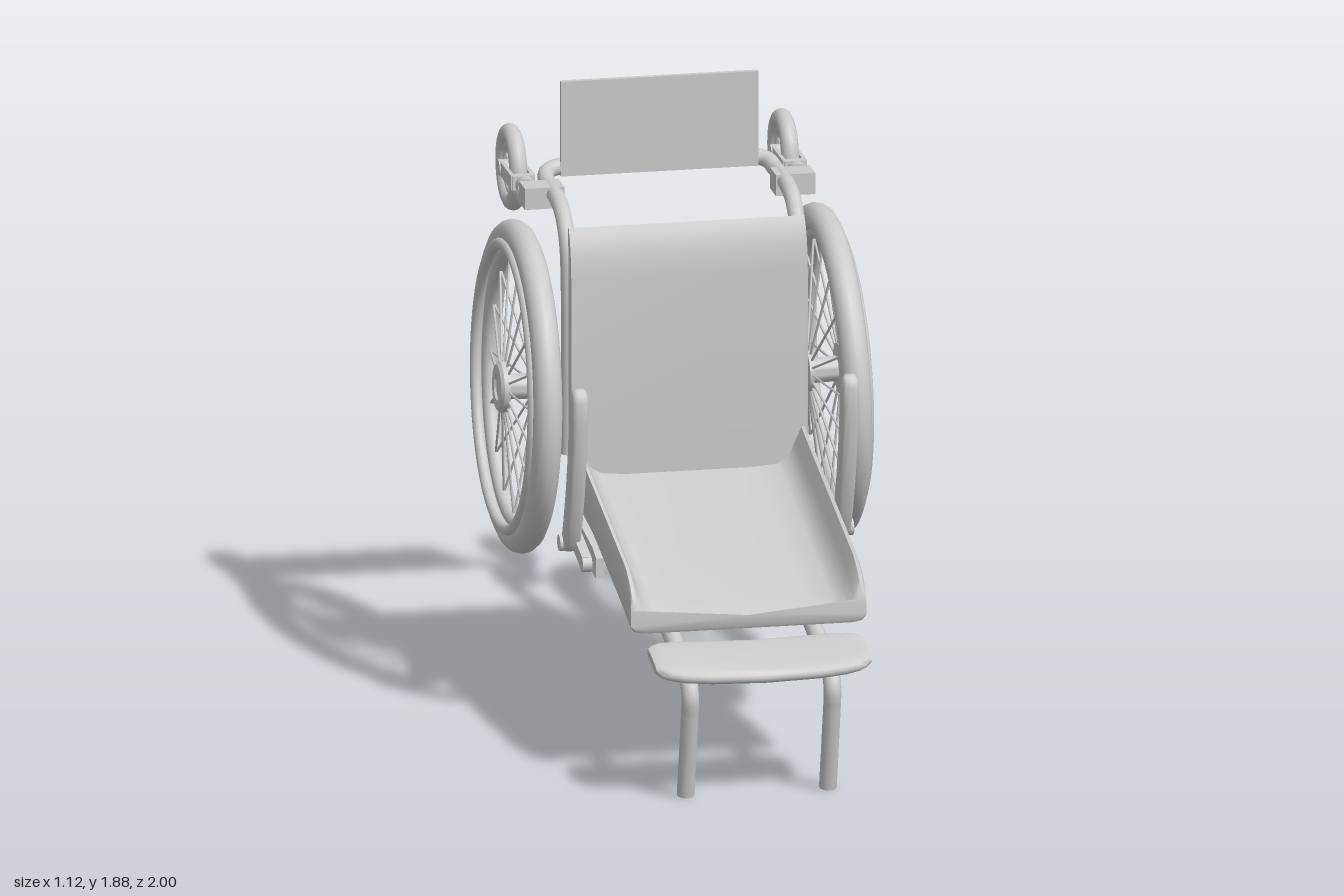
import * as THREE from 'three';
import { toCreasedNormals } from 'three/addons/utils/BufferGeometryUtils.js';

const mat = new THREE.MeshStandardMaterial({ color: 0xcccccc, roughness: 0.7 });
const V = (x, y, z) => new THREE.Vector3(x, y, z);

function add(parent, name, geo, x = 0, y = 0, z = 0) {
  const m = new THREE.Mesh(geo, mat);
  m.name = name;
  m.position.set(x, y, z);
  parent.add(m);
  return m;
}

// Straight capped cylinder between two points
function rod(parent, name, a, b, r, sides = 16) {
  const m = add(parent, name, new THREE.CylinderGeometry(r, r, a.distanceTo(b), sides));
  m.position.copy(a).add(b).multiplyScalar(0.5);
  m.quaternion.setFromUnitVectors(V(0, 1, 0), b.clone().sub(a).normalize());
  return m;
}

// Bent tube through points
function tube(parent, name, pts, r, seg = 60) {
  const curve = new THREE.CatmullRomCurve3(pts, false, 'centripetal');
  return add(parent, name, new THREE.TubeGeometry(curve, seg, r, 14));
}

// Closed skin over a row of equal-length cross-section loops
function loft(loops, crease = 0.7) {
  const pos = [], n = loops[0].length;
  const tri = (...ps) => ps.forEach(p => pos.push(p.x, p.y, p.z));
  const mid = l => l.reduce((s, p) => s.add(p), V(0, 0, 0)).divideScalar(n);
  const last = loops[loops.length - 1], c0 = mid(loops[0]), c1 = mid(last);
  for (let j = 0; j < n; j++) {
    const k = (j + 1) % n;
    for (let i = 0; i + 1 < loops.length; i++) {
      const A = loops[i], B = loops[i + 1];
      tri(A[j], A[k], B[k]);
      tri(A[j], B[k], B[j]);
    }
    tri(c0, loops[0][k], loops[0][j]);
    tri(c1, last[j], last[k]);
  }
  const g = new THREE.BufferGeometry();
  g.setAttribute('position', new THREE.Float32BufferAttribute(pos, 3));
  return toCreasedNormals(g, crease);
}

// Rounded-rectangle ring of [u, v] pairs
function ring(a, b, power = 0.5, n = 24) {
  return Array.from({ length: n }, (_, i) => {
    const t = i / n * Math.PI * 2, f = v => Math.sign(v) * Math.abs(v) ** power;
    return [a * f(Math.cos(t)), b * f(Math.sin(t))];
  });
}

// Side profile of [z, y] points extruded across x
function slab(pts, width) {
  const g = new THREE.ExtrudeGeometry(new THREE.Shape(pts.map(([z, y]) => new THREE.Vector2(-z, y))),
    { depth: width, bevelEnabled: false });
  g.translate(0, 0, -width / 2).rotateY(Math.PI / 2);
  return toCreasedNormals(g, 0.5);
}

// Lathe about the x axis from [radius, x] points
const turned = (pts, seg = 32) => toCreasedNormals(
  new THREE.LatheGeometry(pts.map(([r, x]) => new THREE.Vector2(r, x)), seg).rotateZ(-Math.PI / 2), 0.6);

const hoop = (R, r, seg = 64) => new THREE.TorusGeometry(R, r, 14, seg).rotateY(Math.PI / 2);

function mainWheel() {
  const g = new THREE.Group();
  g.name = 'mainWheel';
  add(g, 'tyre', hoop(0.475, 0.045));
  add(g, 'rim', hoop(0.432, 0.024));
  add(g, 'handRim', hoop(0.445, 0.018), 0.04);
  add(g, 'hub', turned([[0, -0.11], [0.03, -0.11], [0.045, -0.095], [0.05, -0.07], [0.065, -0.065], [0.065, -0.05],
    [0.04, -0.045], [0.04, 0.03], [0.08, 0.035], [0.08, 0.055], [0.07, 0.065], [0.042, 0.065], [0.038, 0.058], [0, 0.058]]));
  for (let i = 0; i < 16; i++) {
    const t = i / 16 * Math.PI * 2, c = Math.cos(t), s = Math.sin(t);
    for (const [x, r] of [[-0.057, 0.055], [0.04, 0.07]])
      rod(g, 'spoke', V(x, c * r, s * r), V(0, c * 0.42, s * 0.42), 0.004, 6);
  }
  g.position.set(0.49, 0.97, -0.475);
  g.rotation.z = 0.024; // slight camber
  return g;
}

function caster() {
  const g = new THREE.Group();
  g.name = 'caster';
  add(g, 'casterTyre', hoop(0.108, 0.028, 40));
  add(g, 'casterRim', hoop(0.082, 0.012, 40));
  rod(g, 'casterHub', V(-0.042, 0, 0), V(0.042, 0, 0), 0.025);
  for (let i = 0; i < 10; i++) {
    const t = i / 10 * Math.PI * 2;
    rod(g, 'casterSpoke', V(0, 0, 0), V(0, Math.cos(t) * 0.08, Math.sin(t) * 0.08), 0.006, 8);
  }
  for (const s of [-1, 1]) add(g, 'forkArm', new THREE.BoxGeometry(0.012, 0.045, 0.2), s * 0.032, 0, 0.085);
  add(g, 'forkCrown', new THREE.BoxGeometry(0.07, 0.045, 0.03), 0, 0, 0.175);
  rod(g, 'stem', V(0, 0, 0.17), V(0, 0, 0.29), 0.018);
  rod(g, 'stemCollar', V(0, 0, 0.21), V(0, 0, 0.25), 0.03);
  g.position.set(0.43, 1.567, -0.86);
  return g;
}

// Everything that exists once per side, built on the +x side
function sideAssembly() {
  const g = new THREE.Group();
  g.add(mainWheel(), caster());
  add(g, 'casterClamp', new THREE.BoxGeometry(0.125, 0.068, 0.09), 0.397, 1.562, -0.548);
  tube(g, 'axleTube', [V(0.42, 0.97, -0.475), V(0.37, 0.97, -0.47), V(0.32, 0.97, -0.43), V(0.17, 0.97, -0.34)], 0.027, 24);

  // Leg tube with capped foot
  tube(g, 'leg', [V(0.225, 0.64, -0.14), V(0.225, 0.55, 0.25), V(0.225, 0.4, 0.84), V(0.225, 0.377, 0.895),
    V(0.225, 0.335, 0.917), V(0.225, 0.28, 0.907), V(0.225, 0.1, 0.866)], 0.028);
  rod(g, 'foot', V(0.225, 0.12, 0.87), V(0.225, 0.006, 0.844), 0.028);

  // Curved arm guard
  const curve = new THREE.CatmullRomCurve3([V(0.428, 0.585, 0.045), V(0.428, 0.7, 0.095), V(0.428, 0.85, 0.143),
    V(0.428, 1, 0.172), V(0.428, 1.14, 0.186)]);
  const loops = [0, 0.02, 0.06, 0.2, 0.4, 0.6, 0.8, 0.93, 0.97, 0.99, 1].map(t => {
    const p = curve.getPoint(t);
    const k = t < 0.03 ? 0.6 + t * 15 : t > 0.92 ? Math.sqrt(Math.max(0.06, 1 - ((t - 0.92) / 0.08) ** 2)) : 1;
    return ring(0.037 * k, 0.028 * Math.sqrt(k), 0.65).map(([z, x]) => V(p.x + x, p.y, p.z + z));
  });
  add(g, 'armGuard', loft(loops, 1));

  // Arm guard bracket and pivots
  add(g, 'bracket', slab([[0.25, 0.545], [0.25, 0.61], [0.19, 0.63], [-0.16, 0.67], [-0.16, 0.58]], 0.025), 0.375);
  for (const [z, y, x] of [[0.18, 0.575, 0.42], [0.05, 0.61, 0.465]]) {
    rod(g, 'pivotPin', V(0.37, y, z), V(x, y, z), 0.014);
    rod(g, 'pivotKnob', V(x - 0.03, y, z), V(x, y, z), 0.026);
  }
  add(g, 'pivotLug', new THREE.BoxGeometry(0.03, 0.045, 0.16), 0.405, 0.595, 0.11).rotation.x = 0.23;
  return g;
}

export function createModel() {
  const model = new THREE.Group();
  model.name = 'wheelchair';

  // Seat: channel with raised sides, rounded at the front edge
  const half = [[0.33, 0], [0.36, 0.01], [0.372, 0.035], [0.372, 0.15], [0.366, 0.168], [0.355, 0.165],
    [0.335, 0.12], [0.315, 0.075], [0.28, 0.052], [0.2, 0.045]];
  const outline = [...half, ...half.map(([x, y]) => [-x, y]).reverse()];
  add(model, 'seat', loft([[-0.25, 1, 0], [0.3, 1, 0], [0.6, 1, 0], [0.66, 0.9, 0], [0.695, 0.76, 0.002],
    [0.712, 0.6, 0.008], [0.718, 0.4, 0.02]].map(([z, k, lift]) =>
    outline.map(([x, y]) => V(x, 0.485 + 0.233 * (0.71 - z) + lift + y * k, z)))));
  add(model, 'seatBase', slab([[0.1, 0.57], [0.1, 0.64], [-0.25, 0.73], [-0.25, 0.7], [-0.16, 0.585]], 0.72));

  // Backrest, rolled back at the top, with the padded pack behind
  add(model, 'backrest', slab([[-0.21, 0.72], [-0.21, 1.38], [-0.218, 1.45], [-0.232, 1.5], [-0.25, 1.535],
    [-0.262, 1.53], [-0.255, 1.45], [-0.255, 0.72]], 0.745));
  add(model, 'backShell', slab([[-0.25, 0.72], [-0.25, 1.48], [-0.28, 1.48], [-0.285, 0.75]], 0.65));
  add(model, 'backPack', slab([[-0.27, 0.74], [-0.27, 1.42], [-0.295, 1.4], [-0.365, 1.05], [-0.365, 0.785]], 0.58));

  // Push frame running up both sides and across the rear
  const frame = [[0.365, 0.8, -0.285], [0.365, 1.35, -0.285], [0.365, 1.47, -0.31], [0.365, 1.545, -0.38],
    [0.365, 1.57, -0.46], [0.362, 1.575, -0.65], [0.348, 1.59, -0.705], [0.3, 1.6, -0.725]];
  tube(model, 'frame', [...frame.map(p => V(...p)), ...frame.map(([x, y, z]) => V(-x, y, z)).reverse()], 0.026, 180);
  add(model, 'rearPanel', new THREE.BoxGeometry(0.625, 0.305, 0.018), 0.006, 1.727, -0.702);

  // Calf pad, curved up at its ends
  const pad = [-1, -0.985, -0.95, -0.88, -0.75, -0.5, 0, 0.5, 0.75, 0.88, 0.95, 0.985, 1].map(t => {
    const k = Math.max(0.3, (1 - Math.abs(t) ** 6) ** 0.4);
    return ring(0.026 * Math.sqrt(k), 0.117 * (0.45 + 0.55 * k), 0.6).map(([y, z]) =>
      V(t * 0.34, 0.433 + y - z * 0.21 + 0.018 * t * t, 0.884 + z));
  });
  add(model, 'calfPad', loft(pad, 1));

  // Mirrored sides
  const left = sideAssembly();
  left.name = 'leftSide';
  const right = sideAssembly();
  right.name = 'rightSide';
  right.scale.x = -1;
  model.add(left, right);
  return model;
}
